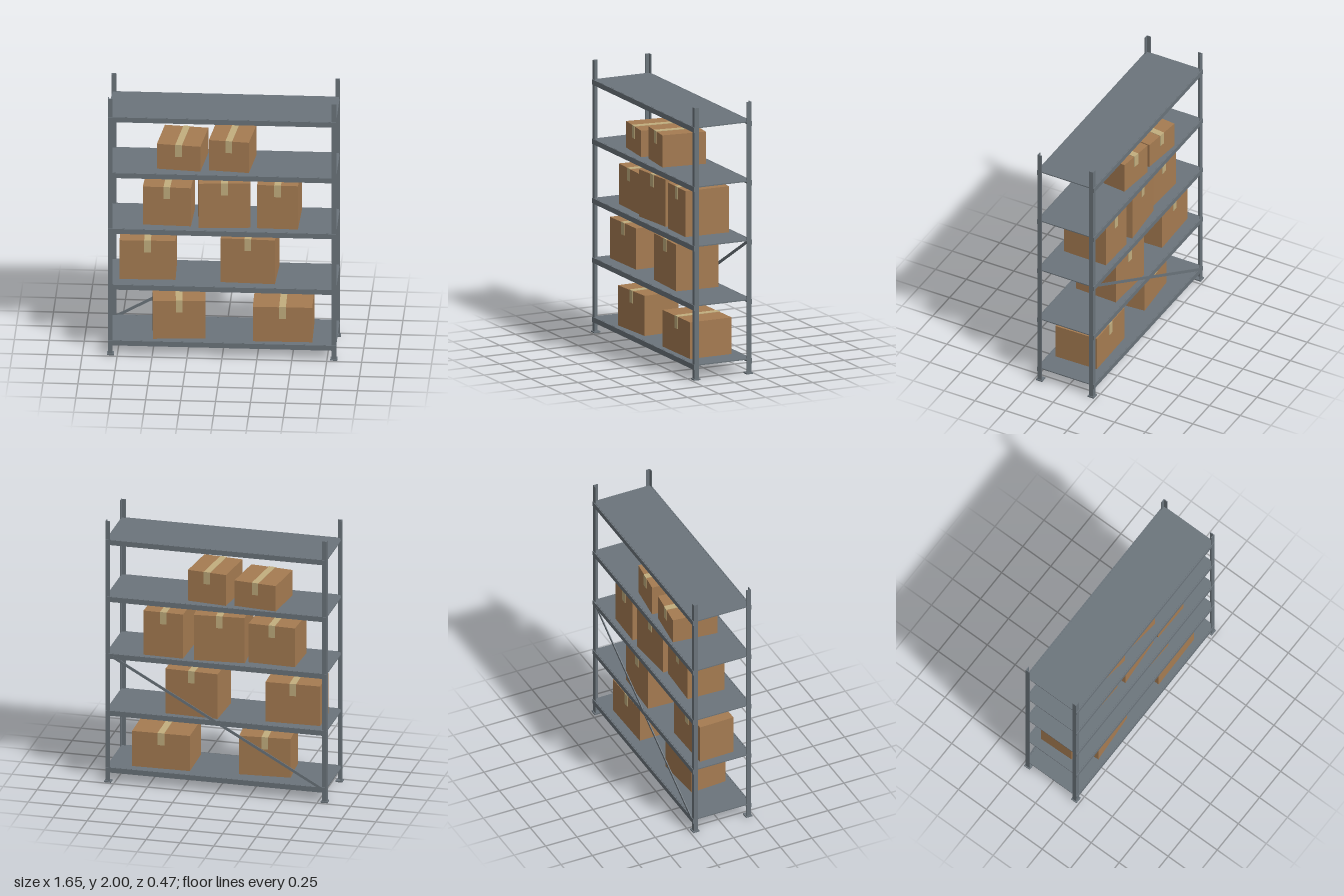
import * as THREE from 'three';

const steel = new THREE.MeshStandardMaterial({ name: 'steel grey', color: 0x6b747b });
const cardboard = new THREE.MeshStandardMaterial({ name: 'cardboard brown', color: 0xa67c52 });
const tapeTan = new THREE.MeshStandardMaterial({ name: 'tape tan', color: 0xc2ae7e });

function box(parent, name, material, size, position) {
  const mesh = new THREE.Mesh(new THREE.BoxGeometry(...size), material);
  mesh.name = name;
  mesh.position.set(...position);
  parent.add(mesh);
  return mesh;
}

// L-section upright, its outer corner at the local origin, opening toward +x, +z
function uprightGeometry(leg, thick, bottom, top) {
  const s = new THREE.Shape();
  s.moveTo(0, 0);
  s.lineTo(leg, 0);
  s.lineTo(leg, thick);
  s.lineTo(thick, thick);
  s.lineTo(thick, leg);
  s.lineTo(0, leg);
  s.closePath();
  const g = new THREE.ExtrudeGeometry(s, { depth: top - bottom, bevelEnabled: false });
  // The shape's y becomes -z, so the section opens toward +x, -z
  return g.rotateX(-Math.PI / 2).translate(0, bottom, 0);
}

// Carton standing on its local origin, with tape over the top and both ends
function carton({ x, y, z, w, h, d, turn }) {
  const g = new THREE.Group();
  g.name = 'carton';
  g.position.set(x, y, z);
  g.rotation.y = turn;
  box(g, 'cartonBody', cardboard, [w, h, d], [0, h / 2, 0]);
  const tw = 0.048, t = 0.003, drop = 0.09;
  box(g, 'topTape', tapeTan, [tw, t, d + 2 * t], [0, h + t / 2, 0]);
  for (const s of [1, -1]) {
    box(g, 'endTape', tapeTan, [tw, drop, t], [0, h - drop / 2, s * (d + t) / 2]);
  }
  return g;
}

export function createModel() {
  const model = new THREE.Group();
  model.name = 'storageRack';

  const levels = [0.114, 0.55, 0.986, 1.422, 1.858];
  const halfX = 0.817, halfZ = 0.226;

  // Corner uprights with foot plates; quarter turns keep every opening inward
  const corners = [[-1, 1, 0], [1, 1, 1], [1, -1, 2], [-1, -1, 3]];
  const upright = uprightGeometry(0.034, 0.006, 0.008, 2);
  for (const [sx, sz, quarter] of corners) {
    const post = new THREE.Mesh(upright, steel);
    post.name = 'upright';
    post.position.set(sx * halfX, 0, sz * halfZ);
    post.rotation.y = quarter * Math.PI / 2;
    model.add(post);
    box(model, 'footPlate', steel, [0.05, 0.01, 0.05], [sx * 0.799, 0.005, sz * 0.21]);
  }

  // Shelves: thin deck with a lip along the front and back
  for (const top of levels) {
    const shelf = new THREE.Group();
    shelf.name = 'shelf';
    box(shelf, 'deck', steel, [1.63, 0.008, 0.444], [0, top - 0.004, 0]);
    for (const s of [1, -1]) {
      box(shelf, 'beam', steel, [1.63, 0.038, 0.008], [0, top - 0.019, s * 0.226 + s * 0.001]);
    }
    model.add(shelf);
  }

  // Diagonal brace across the back
  const a = new THREE.Vector2(-0.79, 0.1), b = new THREE.Vector2(0.79, 0.98);
  const brace = box(model, 'backBrace', steel, [a.distanceTo(b), 0.02, 0.006],
    [(a.x + b.x) / 2, (a.y + b.y) / 2, -0.229]);
  brace.rotation.z = Math.atan2(b.y - a.y, b.x - a.x);

  // Cartons: level, centre x, centre z, width, height, depth, turn
  const cartons = [
    [0, -0.32, 0.03, 0.375, 0.295, 0.28, 0.07],
    [0, 0.427, 0.012, 0.425, 0.269, 0.335, 0.015],
    [1, -0.543, -0.013, 0.4, 0.303, 0.27, 0.025],
    [1, 0.185, -0.02, 0.39, 0.342, 0.33, -0.04],
    [2, -0.395, 0, 0.345, 0.297, 0.29, -0.035],
    [2, 0.001, -0.008, 0.37, 0.346, 0.345, 0.075],
    [2, 0.396, -0.014, 0.293, 0.338, 0.345, -0.02],
    [3, -0.297, -0.02, 0.315, 0.194, 0.34, -0.11],
    [3, 0.062, -0.01, 0.29, 0.236, 0.33, -0.11],
  ];
  for (const [level, x, z, w, h, d, turn] of cartons) {
    model.add(carton({ x, y: levels[level], z, w, h, d, turn }));
  }

  return model;
}
